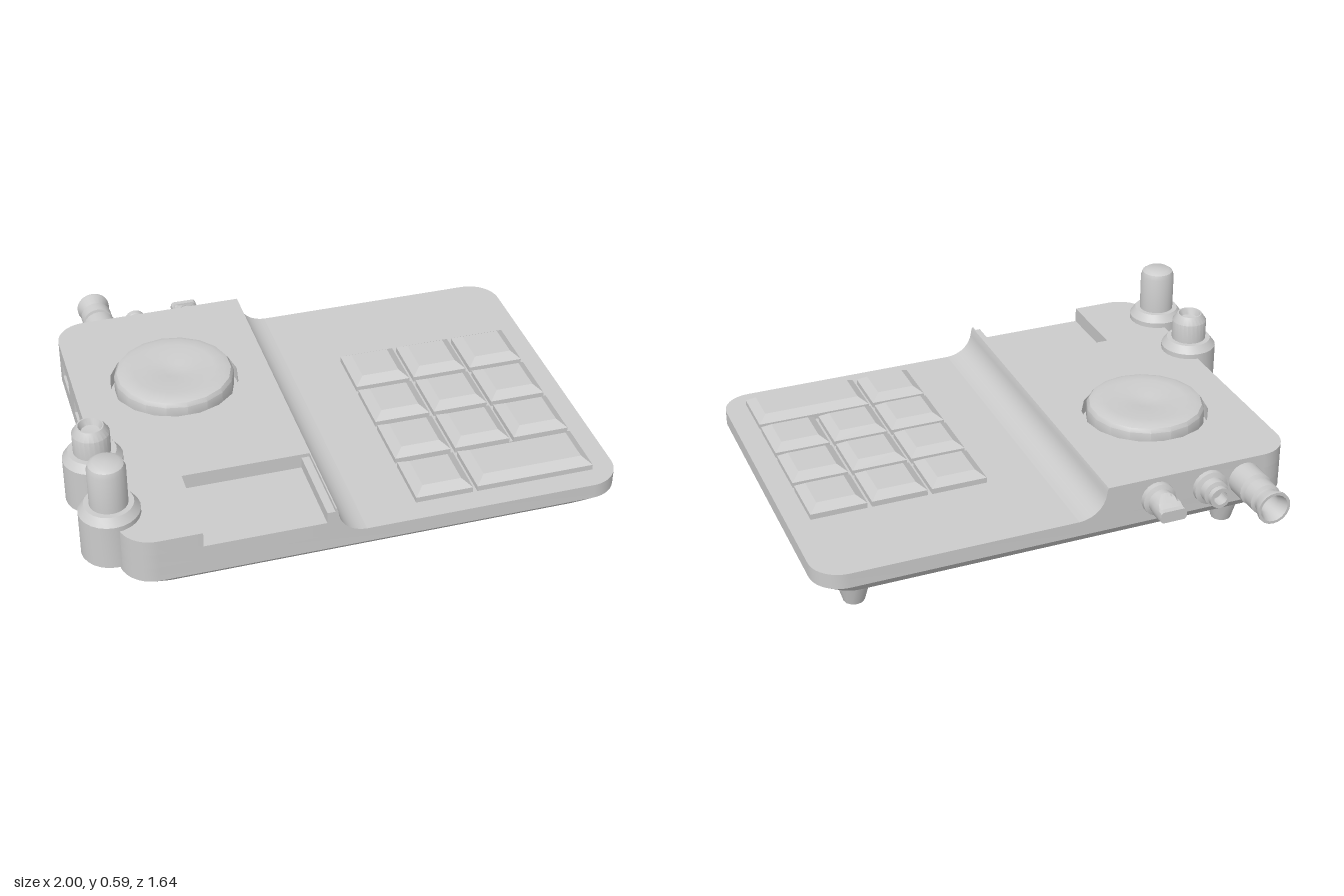
import * as THREE from 'three';
import { toCreasedNormals } from 'three/addons/utils/BufferGeometryUtils.js';

const mat = new THREE.MeshStandardMaterial({ color: 0xcccccc });
const BACK = -0.59, FRONT = 0.82, LEFT = -0.88, RIGHT = 1, STEP = -0.12, R = 0.12;

export function createModel() {
  const model = new THREE.Group();

  const add = (name, geo, x = 0, y = 0, z = 0, crease = 0.6) => {
    const mesh = new THREE.Mesh(toCreasedNormals(geo, crease), mat);
    mesh.name = name;
    mesh.position.set(x, y, z);
    model.add(mesh);
    return mesh;
  };
  const lathe = (pts, sides = 24) =>
    new THREE.LatheGeometry(pts.map(([r, y]) => new THREE.Vector2(r, y)), sides);
  // Plan shape (x, z) extruded downward from y = 0
  const slab = (shape, depth, steps = 1) =>
    new THREE.ExtrudeGeometry(shape, { depth, steps, bevelEnabled: false, curveSegments: 5 }).rotateX(Math.PI / 2);

  // Lower casing: rounded rectangle with a chamfered underside
  const plan = new THREE.Shape();
  plan.absarc(RIGHT - R, FRONT - R, R, 0, Math.PI / 2);
  plan.absarc(LEFT + R, FRONT - R, R, Math.PI / 2, Math.PI);
  plan.absarc(LEFT + R, BACK + R, R, Math.PI, Math.PI * 1.5);
  plan.absarc(RIGHT - R, BACK + R, R, Math.PI * 1.5, Math.PI * 2);
  const base = slab(plan, 0.12, 2);
  const p = base.attributes.position;
  const cx = (LEFT + RIGHT) / 2, cz = (BACK + FRONT) / 2;
  for (let i = 0; i < p.count; i++) {
    if (p.getY(i) > -0.1) continue;
    p.setX(i, cx + (p.getX(i) - cx) * (0.88 / 0.94));
    p.setZ(i, cz + (p.getZ(i) - cz) * (0.645 / 0.705));
  }
  add('lowerCasing', base, 0, 0.24);

  // Raised section, lower layer: socket notches in the left wall
  const ports = [[-0.345, 0.07], [-0.1, 0.06], [0.035, 0.055]];
  const raised = (cutWall, tray) => {
    const s = new THREE.Shape();
    s.moveTo(STEP, BACK);
    s.lineTo(STEP, tray ? 0.49 : FRONT);
    if (tray) {
      s.lineTo(-0.6, 0.49);
      s.lineTo(-0.6, FRONT);
    }
    s.absarc(LEFT + R, FRONT - R, R, Math.PI / 2, Math.PI);
    if (cutWall) {
      for (const [z, h] of [...ports].reverse()) {
        s.lineTo(LEFT, z + h);
        s.lineTo(LEFT + 0.08, z + h);
        s.lineTo(LEFT + 0.08, z - h);
        s.lineTo(LEFT, z - h);
      }
    }
    s.absarc(LEFT + R, BACK + R, R, Math.PI, Math.PI * 1.5);
    return s;
  };
  add('socketLayer', slab(raised(true, false), 0.06), 0, 0.3);
  for (const [z, h] of ports)
    add('socketTongue', new THREE.BoxGeometry(0.06, 0.018, h * 1.3), LEFT + 0.05, 0.27, z);

  // Raised section, upper layer: tray cutout and round wheel well
  const deck = raised(false, true);
  const well = new THREE.Path();
  for (let i = 0; i < 18; i++) {
    const a = -i / 18 * Math.PI * 2;
    const x = -0.49 + 0.25 * Math.cos(a), z = -0.11 + 0.25 * Math.sin(a);
    i ? well.lineTo(x, z) : well.moveTo(x, z);
  }
  well.closePath();
  deck.holes.push(well);
  add('upperDeck', slab(deck, 0.06), 0, 0.36);

  // Tray rim
  add('trayRim', new THREE.BoxGeometry(0.035, 0.045, FRONT - 0.49), -0.1325, 0.3225, (FRONT + 0.49) / 2);

  // Concave sweep between the raised section and the key deck
  const sweep = new THREE.Shape();
  sweep.moveTo(STEP, 0.24);
  sweep.lineTo(0, 0.24);
  sweep.bezierCurveTo(-0.06, 0.243, -0.105, 0.28, -0.11, 0.345);
  sweep.lineTo(-0.115, 0.36);
  sweep.lineTo(STEP, 0.36);
  add('sweep', new THREE.ExtrudeGeometry(sweep, { depth: FRONT - BACK, bevelEnabled: false, curveSegments: 10 }), 0, 0, BACK);

  // Wheel with a rounded rim and shallow dimple
  add('wheel', lathe([[0.225, 0.3], [0.232, 0.32], [0.232, 0.385], [0.222, 0.4], [0.2, 0.408],
    [0.16, 0.408], [0.07, 0.403], [0.04, 0.398], [0, 0.396]], 18), -0.49, 0, -0.11);

  // Keys: boxes with bevelled tops
  const key = (x0, x1, z0, z1) => {
    const w = x1 - x0, d = z1 - z0, b = 0.035;
    const g = new THREE.BoxGeometry(w, 0.05, d, 1, 2, 1);
    const q = g.attributes.position;
    for (let i = 0; i < q.count; i++) {
      if (q.getY(i) > 0.01) {
        q.setX(i, Math.sign(q.getX(i)) * (w / 2 - b));
        q.setZ(i, Math.sign(q.getZ(i)) * (d / 2 - b));
      }
    }
    add('key', g, (x0 + x1) / 2, 0.262, (z0 + z1) / 2, 0.2);
  };
  const cols = [[0.215, 0.435], [0.453, 0.672], [0.69, 0.91]];
  for (let row = 0; row < 4; row++) {
    const z = -0.203 + row * 0.239;
    const spans = row < 3 ? cols : [cols[0], [cols[1][0], cols[2][1]]];
    for (const [x0, x1] of spans) key(x0, x1, z, z + 0.218);
  }

  // Two knobs on columns at the left edge; the rear one has a dished top
  const column = [[0, 0.2], [0.112, 0.2], [0.112, 0.38], [0.09, 0.41], [0.07, 0.41]];
  add('tallKnob', lathe([...column, [0.07, 0.56], [0.063, 0.58], [0.048, 0.59], [0, 0.59]]), -0.89, 0, 0.62);
  add('dishedKnob', lathe([...column, [0.07, 0.49], [0.05, 0.52], [0.045, 0.52], [0.035, 0.495], [0, 0.49]]), -0.89, 0, 0.31);

  // Tapered feet: long at the rear, short at the front
  for (const x of [-0.69, 0.82]) {
    add('rearFoot', new THREE.CylinderGeometry(0.077, 0.04, 0.13, 12), x, 0.065, -0.41);
    add('frontFoot', new THREE.CylinderGeometry(0.085, 0.04, 0.03, 12), x, 0.11, 0.63);
  }

  // Rear connectors: profiles run outward from the back wall
  const connector = (name, x, pts) =>
    add(name, lathe(pts, 20).rotateX(-Math.PI / 2), x, 0.275, BACK);
  connector('flaredConnector', -0.68, [[0.066, -0.01], [0.066, 0.09], [0.05, 0.1], [0.05, 0.112], [0.062, 0.115],
    [0.062, 0.165], [0.05, 0.172], [0.05, 0.185], [0.066, 0.22], [0.066, 0.233], [0.055, 0.233], [0.04, 0.19], [0.04, 0.13], [0, 0.13]]);
  connector('smallConnector', -0.53, [[0.068, -0.01], [0.068, 0.02], [0.05, 0.027], [0.05, 0.06], [0.035, 0.065],
    [0.042, 0.075], [0.042, 0.097], [0.028, 0.097], [0.028, 0.05], [0, 0.05]]);
  connector('switchCollar', -0.315, [[0.066, -0.01], [0.066, 0.022], [0.05, 0.03], [0.05, 0.065], [0, 0.065]]);

  // Switch lever: cylinder pinched to a flat blade
  const lever = new THREE.CylinderGeometry(0.053, 0.053, 0.08, 20, 4).rotateX(-Math.PI / 2);
  const v = lever.attributes.position;
  for (let i = 0; i < v.count; i++) {
    const t = (0.04 - v.getZ(i)) / 0.08;
    const limit = 0.053 - 0.03 * Math.min(1, t * 1.3);
    v.setY(i, THREE.MathUtils.clamp(v.getY(i), -limit, limit));
  }
  add('switchLever', lever, -0.315, 0.275, -0.69, 0.4);

  return model;
}
